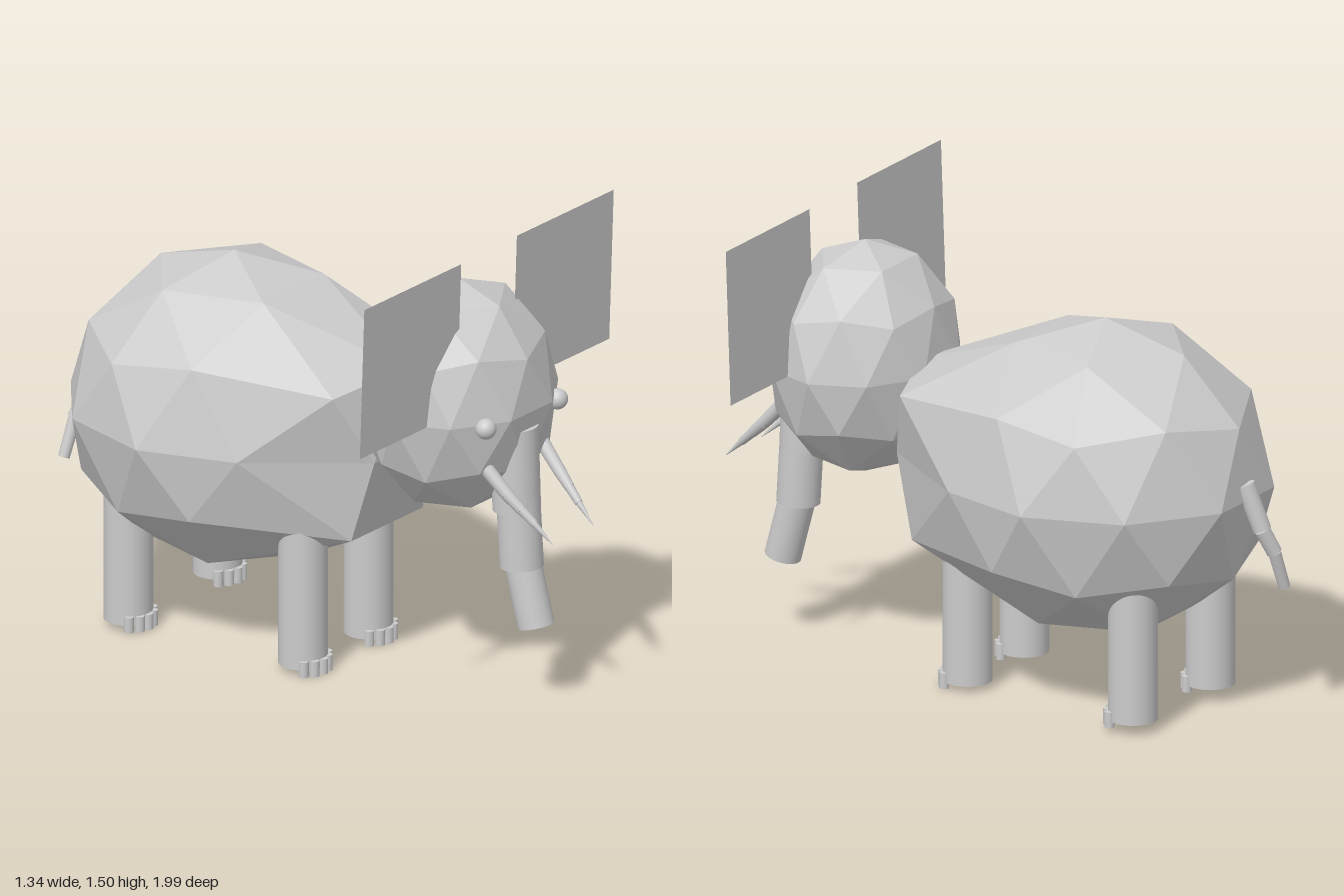
import * as THREE from 'three';

const V = (x, y, z) => new THREE.Vector3(x, y, z);
const smooth = new THREE.MeshStandardMaterial({ color: 0xcccccc });
const faceted = new THREE.MeshStandardMaterial({ color: 0xcccccc, flatShading: true });
const sheet = new THREE.MeshStandardMaterial({ color: 0xcccccc, side: THREE.DoubleSide });

// 80-sided ball with a corner at the top, its upper ring pointing along z
function facetBall(rx, ry, rz, turn) {
  const g = new THREE.IcosahedronGeometry(1, 1);
  g.rotateZ(Math.atan(2 / (1 + Math.sqrt(5))));
  g.rotateY(turn);
  return g.scale(rx, ry, rz);
}

// cylinder or cone from point a to point b
function rod(a, b, ra, rb, sides = 32) {
  const d = b.clone().sub(a);
  const m = new THREE.Mesh(new THREE.CylinderGeometry(rb, ra, d.length(), sides), smooth);
  m.position.copy(a).add(b).multiplyScalar(0.5);
  m.quaternion.setFromUnitVectors(V(0, 1, 0), d.normalize());
  return m;
}

// chain of rods with a step at every joint
function chain(name, points, radii, sides) {
  const g = new THREE.Group();
  g.name = name;
  radii.forEach(([ra, rb], i) => g.add(rod(points[i], points[i + 1], ra, rb, sides)));
  return g;
}

export function createModel() {
  const model = new THREE.Group();
  const add = (name, object) => {
    object.name = name;
    model.add(object);
    return object;
  };

  // body, drawn forward into a neck at the chest
  const bodyGeo = facetBall(0.526, 0.525, 0.56, -Math.PI / 2).translate(0, 0.745, -0.36);
  const p = bodyGeo.attributes.position;
  for (let i = 0; i < p.count; i++) {
    const x = p.getX(i), y = p.getY(i), z = p.getZ(i);
    if (z < 0.01) continue;
    if (y < 0.6) p.setXYZ(i, x * 0.72, 0.47, 0.25);
    else p.setZ(i, z + 0.15 + 0.2 * (y - 0.745));
  }
  bodyGeo.computeVertexNormals();
  add('body', new THREE.Mesh(bodyGeo, faceted));

  // head
  const head = add('head', new THREE.Mesh(facetBall(0.355, 0.39, 0.305, Math.PI / 2), faceted));
  head.position.set(0, 0.99, 0.54);

  // ears
  for (const [name, x, z] of [['leftEar', 0.412, 0.645], ['rightEar', -0.412, 0.655]]) {
    const ear = add(name, new THREE.Mesh(new THREE.PlaneGeometry(0.515, 0.515), sheet));
    ear.position.set(x, 1.247, z);
    ear.rotation.x = 0.035;
  }

  // eyes
  for (const [name, x, y] of [['leftEye', 0.183, 0.97], ['rightEye', -0.197, 0.983]]) {
    const eye = add(name, new THREE.Mesh(new THREE.SphereGeometry(0.034, 24, 16), smooth));
    eye.position.set(x, y, 0.795);
  }

  // trunk
  model.add(
    chain('upperTrunk', [V(0, 0.93, 0.76), V(0, 0.645, 0.77)], [[0.078, 0.078]]),
    chain('middleTrunk', [V(0, 0.7, 0.775), V(0, 0.455, 0.79)], [[0.071, 0.071]]),
    chain('lowerTrunk', [V(0, 0.49, 0.787), V(0, 0.263, 0.848)], [[0.06, 0.06]])
  );

  // tusks
  for (const [name, s] of [['leftTusk', 1], ['rightTusk', -1]]) {
    const points = [V(0.15, 0.83, 0.755), V(0.138, 0.75, 0.835), V(0.128, 0.705, 0.885),
      V(0.118, 0.665, 0.93), V(0.108, 0.605, 0.995)];
    points.forEach((q) => { q.x *= s; });
    model.add(chain(name, points, [[0.024, 0.021], [0.021, 0.017], [0.016, 0.013], [0.011, 0.001]], 16));
  }

  // legs, each with an arc of toes at the front of the foot
  const legs = [
    ['frontLeftLeg', 0.145, 0.068, 0.02],
    ['frontRightLeg', -0.203, 0.068, 0.02],
    ['backLeftLeg', 0.25, -0.615, 0.035],
    ['backRightLeg', -0.225, -0.615, 0.022],
  ];
  for (const [name, x, z, y] of legs) {
    const leg = chain(name, [V(x, y, z), V(x, 0.5, z)], [[0.08, 0.08]]);
    for (let i = -2; i <= 2; i++) {
      const a = i * 0.45;
      const tx = x + Math.sin(a) * 0.08, tz = z + Math.cos(a) * 0.08;
      const toe = rod(V(tx, y - 0.02, tz), V(tx, y + 0.032, tz), 0.016, 0.016, 16);
      toe.name = 'toe';
      leg.add(toe);
    }
    model.add(leg);
  }

  // tail
  model.add(
    chain('tail', [V(0.005, 0.8, -0.885), V(-0.015, 0.65, -0.937), V(-0.045, 0.57, -0.965),
      V(-0.085, 0.445, -0.978)], [[0.032, 0.03], [0.026, 0.025], [0.021, 0.019]], 20)
  );

  return model;
}
